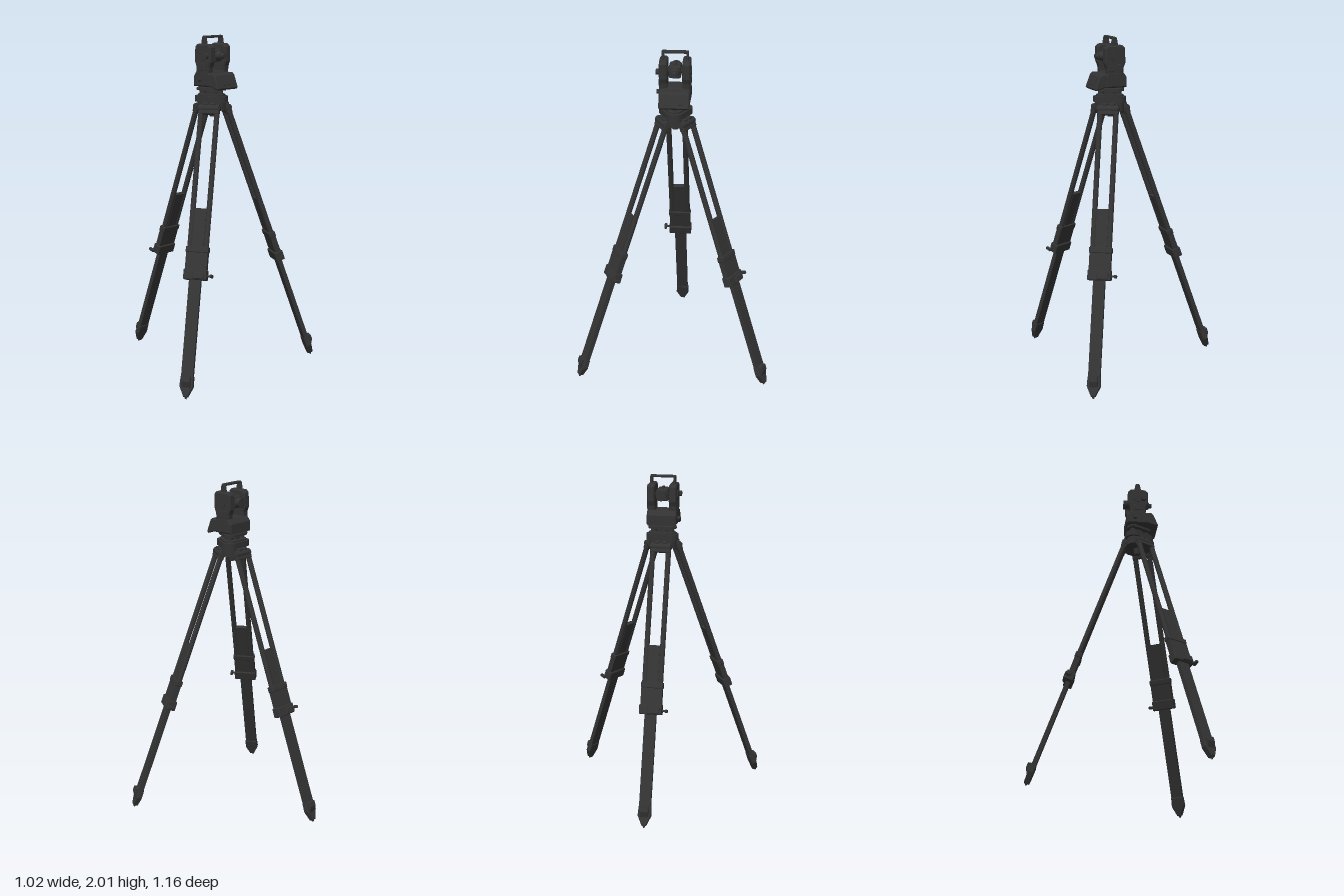
import * as THREE from 'three';
import { RoundedBoxGeometry } from 'three/addons/geometries/RoundedBoxGeometry.js';

const mat = new THREE.MeshStandardMaterial({ color: 0x333333 });
const AXIS = 0.16; // x of the vertical axis

function add(parent, name, geo, x = 0, y = 0, z = 0) {
  const m = new THREE.Mesh(geo, mat);
  m.name = name;
  m.position.set(x, y, z);
  parent.add(m);
  return m;
}
const box = (w, h, d) => new THREE.BoxGeometry(w, h, d);
const rbox = (w, h, d, r = 0.006) => new RoundedBoxGeometry(w, h, d, 2, r);
const cyl = (r1, r2, h, n = 20) => new THREE.CylinderGeometry(r1, r2, h, n);
const cylX = (r1, r2, h, n = 20) => cyl(r1, r2, h, n).rotateZ(-Math.PI / 2); // r1 end at +x
const cylZ = (r1, r2, h, n = 20) => cyl(r1, r2, h, n).rotateX(Math.PI / 2);  // r1 end at +z
const poly = (pts) => new THREE.Shape(pts.map(([x, y]) => new THREE.Vector2(x, y)));

// extrude a side profile (x, y) over depth d, centred on z = 0
function slab(pts, d, bevel = 0.004) {
  return new THREE.ExtrudeGeometry(poly(pts), {
    depth: d - 2 * bevel, bevelEnabled: bevel > 0, bevelSize: bevel, bevelThickness: bevel,
    bevelOffset: -bevel, bevelSegments: 1,
  }).translate(0, 0, -d / 2 + bevel);
}

// horizontal plate with three round corners, bottom at y = 0
function triPlate(d, r, h) {
  const s = new THREE.Shape();
  for (let i = 0; i < 3; i++) {
    const a = i * Math.PI * 2 / 3;
    s.absarc(d * Math.cos(a), d * Math.sin(a), r, a - Math.PI / 3, a + Math.PI / 3, false);
  }
  return new THREE.ExtrudeGeometry(s, { depth: h, bevelEnabled: false, curveSegments: 12 })
    .rotateX(-Math.PI / 2);
}

// a leg hangs along local -y from its hinge; local -x is outward
function makeLeg() {
  const leg = new THREE.Group();
  leg.name = 'leg';
  leg.position.set(-0.08, 1.58, 0);
  leg.rotation.z = -Math.atan(0.361);
  add(leg, 'hingeBarrel', cylZ(0.022, 0.022, 0.12));
  add(leg, 'hingeBlock', rbox(0.034, 0.05, 0.125), 0, -0.012, 0);
  for (const s of [-1, 1]) {
    add(leg, 'rail', cyl(0.016, 0.016, 0.98, 14), 0, -0.5, s * 0.048);
    add(leg, 'hingeCap', cylZ(0.013, 0.013, 0.008), 0, 0, s * 0.063);
  }
  // sliding lower leg
  add(leg, 'slidingBoard', box(0.026, 0.99, 0.07), 0, -1.09, 0);
  add(leg, 'boardPlate', box(0.018, 0.36, 0.085), 0, -0.775, 0);
  // collar and clamp
  add(leg, 'collar', rbox(0.042, 0.035, 0.136), 0, -0.835, 0);
  add(leg, 'sleeve', box(0.034, 0.13, 0.128), 0, -0.91, 0);
  add(leg, 'clamp', rbox(0.054, 0.06, 0.138), 0, -0.98, 0);
  add(leg, 'clampLug', rbox(0.022, 0.04, 0.07), -0.025, -0.985, 0.02);
  add(leg, 'clampScrew', cylZ(0.006, 0.006, 0.04, 10), -0.012, -0.985, 0.082);
  add(leg, 'clampKnob', rbox(0.038, 0.018, 0.016, 0.004), -0.012, -0.985, 0.095);
  // pointed foot with a tread step
  const foot = [[-0.037, -1.56], [-0.04, -1.615], [-0.012, -1.675], [0.012, -1.675], [0.04, -1.615], [0.037, -1.56]];
  add(leg, 'foot', slab(foot, 0.034).rotateY(Math.PI / 2));
  add(leg, 'footTread', slab([[-0.012, -1.555], [-0.036, -1.56], [-0.036, -1.59], [-0.012, -1.63]], 0.05, 0.003));
  add(leg, 'footSpike', cyl(0.012, 0.004, 0.02, 12), 0, -1.677, 0);
  return leg;
}

function makeHead() {
  const g = new THREE.Group();
  g.name = 'tripodHead';
  add(g, 'headPlate', triPlate(0.055, 0.05, 0.035), 0, 1.615, 0);
  add(g, 'headSkirt', triPlate(0.046, 0.044, 0.06), 0, 1.565, 0);
  add(g, 'centringScrew', cyl(0.022, 0.018, 0.05), 0, 1.55, 0);
  for (let i = 0; i < 3; i++) {
    const arm = new THREE.Group();
    arm.name = 'hingeBracket';
    arm.rotation.y = i * Math.PI * 2 / 3;
    for (const s of [-1, 1]) add(arm, 'hingeEar', rbox(0.06, 0.05, 0.03), -0.062, 1.588, s * 0.022);
    g.add(arm);
  }
  return g;
}

function makeTribrach() {
  const g = new THREE.Group();
  g.name = 'levellingBase';
  add(g, 'basePlate', triPlate(0.046, 0.042, 0.01), 0, 1.65, 0);
  add(g, 'upperPlate', triPlate(0.05, 0.042, 0.016), 0, 1.682, 0);
  add(g, 'baseColumn', cyl(0.045, 0.045, 0.06, 28), 0, 1.685, 0);
  for (let i = 0; i < 3; i++) {
    const a = i * Math.PI * 2 / 3;
    add(g, 'footScrew', cyl(0.018, 0.018, 0.016, 16), 0.06 * Math.cos(a), 1.672, 0.06 * Math.sin(a));
  }
  add(g, 'lockLever', rbox(0.03, 0.012, 0.02, 0.004), -0.035, 1.69, 0.078);
  return g;
}

function makeInstrument() {
  const g = new THREE.Group();
  g.name = 'instrument';
  // lower housing with the sloping control panel on +x
  add(g, 'housing', slab([[-0.072, 1.705], [0.06, 1.705], [0.06, 1.77], [0.045, 1.795], [-0.05, 1.795], [-0.072, 1.765]], 0.18, 0.008));
  add(g, 'controlPanel', slab([[0.04, 1.715], [0.118, 1.69], [0.126, 1.7], [0.098, 1.772], [0.085, 1.785], [0.04, 1.785]], 0.176, 0.006));
  const screen = add(g, 'screen', rbox(0.004, 0.045, 0.1, 0.0015), 0.114, 1.738, 0);
  screen.rotation.z = 0.37;

  // two standards carrying the telescope
  const side = [[-0.05, 1.78], [0.048, 1.78], [0.052, 1.82], [0.064, 1.85], [0.064, 1.935], [0.045, 1.952],
    [-0.045, 1.952], [-0.062, 1.935], [-0.064, 1.85], [-0.052, 1.82]];
  for (const s of [-1, 1]) {
    add(g, 'standard', slab(side, 0.046, 0.007), 0, 0, s * 0.066);
    add(g, 'axisCap', cylZ(0.026, 0.026, 0.008), 0, 1.885, s * 0.09);
    add(g, 'sidePanel', rbox(0.075, 0.04, 0.006, 0.002), 0, 1.82, s * 0.089);
  }
  add(g, 'focusKnob', cylZ(0.017, 0.017, 0.026), 0.035, 1.885, 0.094);
  add(g, 'tangentKnob', cylZ(0.012, 0.012, 0.03), -0.02, 1.745, 0.094);

  // telescope along x
  add(g, 'telescopeBody', rbox(0.09, 0.075, 0.07, 0.012), 0, 1.885, 0);
  add(g, 'trunnion', cylZ(0.02, 0.02, 0.1), 0, 1.885, 0);
  add(g, 'objective', cylX(0.027, 0.03, 0.045, 24), -0.06, 1.885, 0);
  add(g, 'eyepieceBarrel', cylX(0.022, 0.029, 0.04, 24), 0.058, 1.885, 0);
  add(g, 'eyepiece', cylX(0.014, 0.017, 0.022, 20), 0.085, 1.885, 0);
  add(g, 'sight', rbox(0.045, 0.012, 0.014, 0.003), 0, 1.926, 0);

  // carrying handle across z
  const post = [[-0.024, 1.94], [0.024, 1.94], [0.015, 1.992], [0.008, 2], [-0.008, 2], [-0.015, 1.992]];
  for (const s of [-1, 1]) add(g, 'handlePost', slab(post, 0.014, 0.003), 0, 0, s * 0.07);
  add(g, 'handleBar', rbox(0.028, 0.014, 0.15, 0.005), 0, 1.993, 0);
  return g;
}

export function createModel() {
  const model = new THREE.Group();
  model.name = 'surveyingTripod';
  const rig = new THREE.Group();
  rig.name = 'rig';
  rig.position.x = AXIS;
  for (let i = 0; i < 3; i++) {
    const arm = new THREE.Group();
    arm.name = 'legArm';
    arm.rotation.y = i * Math.PI * 2 / 3;
    arm.add(makeLeg());
    rig.add(arm);
  }
  rig.add(makeHead(), makeTribrach(), makeInstrument());
  model.add(rig);
  return model;
}
